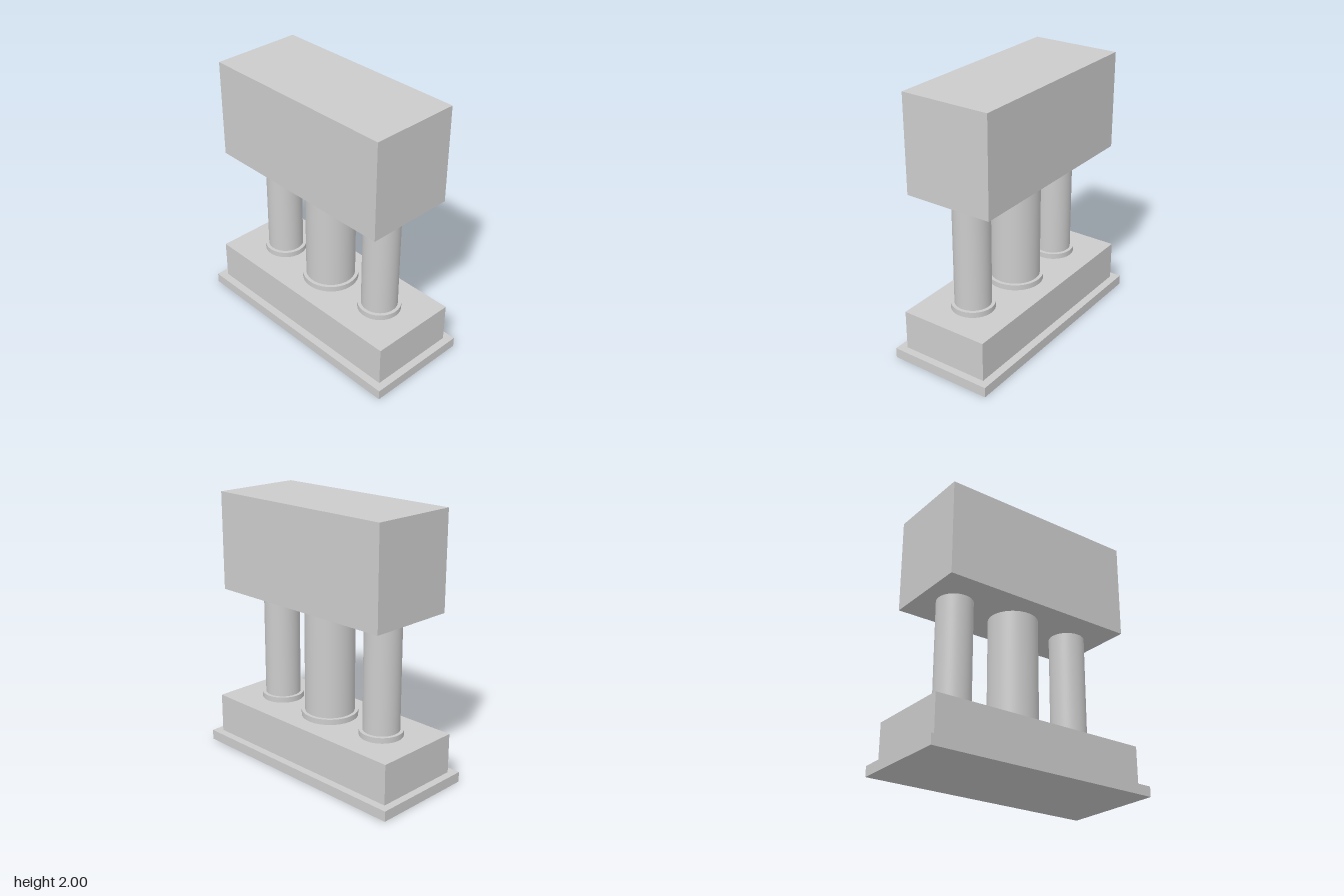
import * as THREE from 'three';

const material = new THREE.MeshStandardMaterial({ color: 0xcccccc });

function add(parent, name, geometry, x, bottom, height) {
  const mesh = new THREE.Mesh(geometry, material);
  mesh.name = name;
  mesh.position.set(x, bottom + height / 2, 0);
  parent.add(mesh);
}

function block(parent, name, width, depth, bottom, top) {
  const height = top - bottom;
  add(parent, name, new THREE.BoxGeometry(width, height, depth), 0, bottom, height);
}

function cylinder(parent, name, radius, x, bottom, top) {
  const height = top - bottom;
  add(parent, name, new THREE.CylinderGeometry(radius, radius, height, 64), x, bottom, height);
}

// Round column standing in a low collar
function column(name, x, radius) {
  const group = new THREE.Group();
  group.name = name;
  cylinder(group, 'shaft', radius, x, 0.38, 1.265);
  cylinder(group, 'collar', radius + 0.026, x, 0.38, 0.422);
  return group;
}

export function createModel() {
  const model = new THREE.Group();
  model.name = 'columnPress';

  // Stepped base
  block(model, 'basePlate', 1.836, 0.804, 0, 0.077);
  block(model, 'baseBlock', 1.722, 0.686, 0.077, 0.38);

  // Thick middle column flanked by two thinner ones
  model.add(column('middleColumn', 0, 0.186));
  model.add(column('leftColumn', 0.516, 0.135));
  model.add(column('rightColumn', -0.516, 0.135));

  // Heavy upper block
  block(model, 'upperBlock', 1.544, 0.686, 1.265, 2);
  return model;
}
